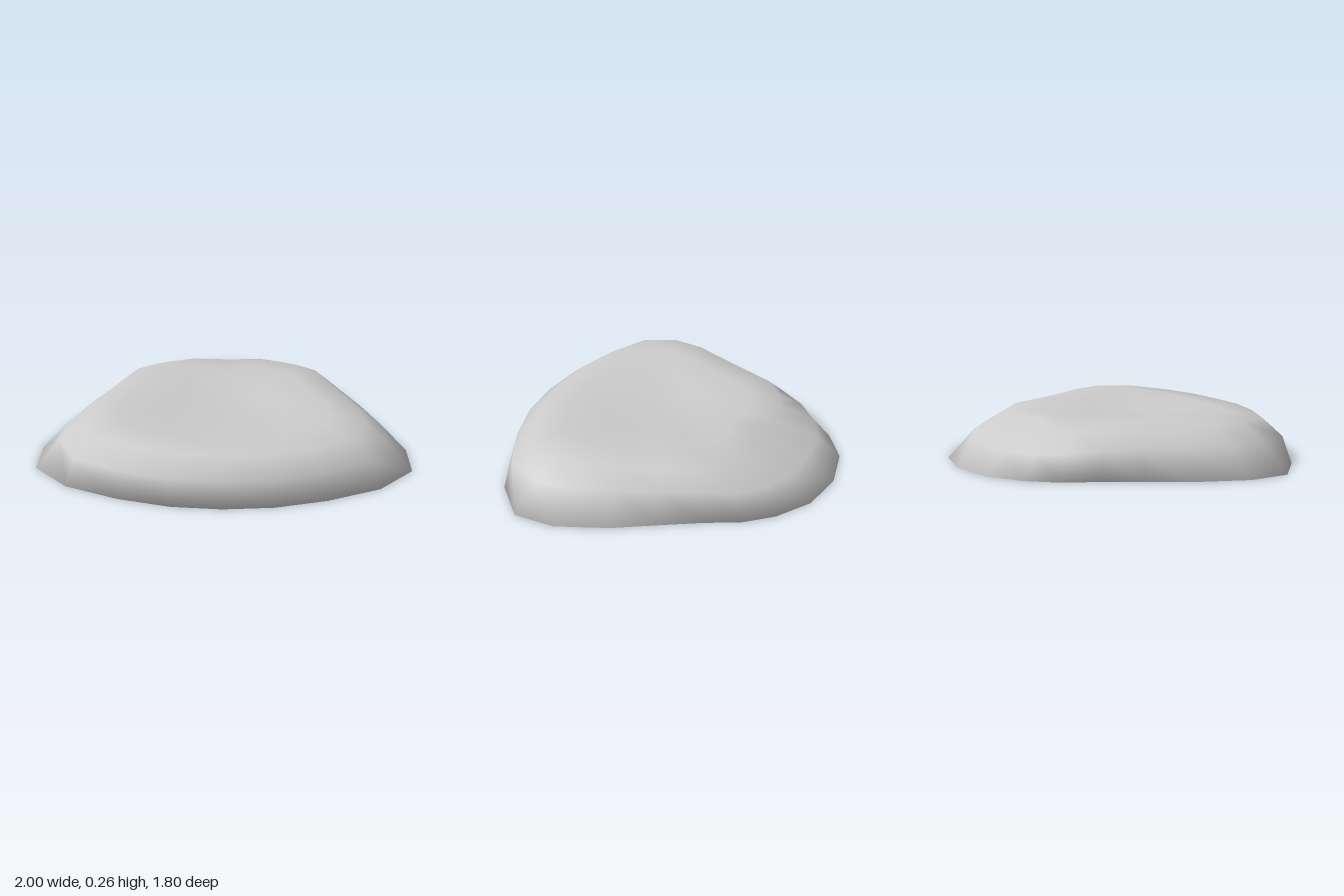
import * as THREE from 'three';

// half of the rim outline, front centre to back centre: [x, z]
const HALF = [[0, 0.9], [0.26, 0.88], [0.53, 0.81], [0.81, 0.69], [1, 0.5], [1, 0.27], [0.89, 0],
  [0.76, -0.22], [0.65, -0.41], [0.56, -0.59], [0.44, -0.73], [0.25, -0.855], [0, -0.9]];
const OUTLINE = [...HALF, ...HALF.slice(1, -1).reverse().map(([x, z]) => [-x, z])];
const CENTER_Z = 0.1;

// cross-sections from underside over the rim to the middle, as [share of rim radius, height],
// each at an angle in degrees measured from the front
const SECTIONS = [
  { at: 0, points: [[0.86, 0], [1, 0], [0.985, 0.15], [0.85, 0.231], [0.65, 0.237], [0.4, 0.228], [0.2, 0.218]] },
  { at: 27, points: [[0.86, 0], [1, 0], [0.98, 0.15], [0.85, 0.235], [0.65, 0.241], [0.4, 0.23], [0.2, 0.218]] },
  { at: 54, points: [[0.86, 0], [1, 0], [0.945, 0.145], [0.83, 0.237], [0.65, 0.255], [0.38, 0.234], [0.18, 0.219]] },
  { at: 72, points: [[0.86, 0], [1, 0], [0.85, 0.15], [0.72, 0.246], [0.55, 0.26], [0.33, 0.235], [0.16, 0.219]] },
  { at: 96, points: [[0.86, 0], [1, 0], [0.86, 0.145], [0.74, 0.226], [0.55, 0.25], [0.33, 0.231], [0.16, 0.218]] },
  { at: 128, points: [[0.86, 0], [1, 0], [0.92, 0.14], [0.81, 0.22], [0.6, 0.242], [0.35, 0.229], [0.17, 0.217]] },
  { at: 141, points: [[0.86, 0], [1, 0], [0.91, 0.125], [0.75, 0.208], [0.56, 0.23], [0.35, 0.226], [0.17, 0.217]] },
  { at: 180, points: [[0.86, 0], [1, 0], [0.84, 0.1], [0.5, 0.218], [0.38, 0.222], [0.24, 0.22], [0.12, 0.216]] },
];

// one ring of points, blending neighbouring cross-sections by direction
function ring(k) {
  return OUTLINE.map(([x, z]) => {
    const dz = z - CENTER_Z;
    const angle = THREE.MathUtils.radToDeg(Math.atan2(Math.abs(x), dz));
    const i = Math.max(1, SECTIONS.findIndex((s) => s.at >= angle));
    const [a, b] = [SECTIONS[i - 1], SECTIONS[i]];
    const t = (angle - a.at) / (b.at - a.at);
    const [share, y] = [0, 1].map((c) => THREE.MathUtils.lerp(a.points[k][c], b.points[k][c], t));
    return [x * share, y, CENTER_Z + dz * share];
  });
}

// closed smooth skin: underside, rolled sides and slightly dished top
function cushionGeometry() {
  const n = OUTLINE.length;
  const rings = SECTIONS[0].points.map((_, k) => ring(k));
  const last = (rings.length - 1) * n;
  const top = rings.length * n;
  const bottom = top + 1;
  const index = [];
  for (let i = 0; i < n; i++) {
    const j = (i + 1) % n;
    for (let k = 0; k < last; k += n) {
      index.push(k + i, k + j, k + n + i, k + j, k + n + j, k + n + i);
    }
    index.push(last + i, last + j, top, j, i, bottom);
  }
  const g = new THREE.BufferGeometry();
  const points = [...rings.flat(), [0, 0.215, CENTER_Z], [0, 0, CENTER_Z]];
  g.setAttribute('position', new THREE.Float32BufferAttribute(points.flat(), 3));
  g.setIndex(index);
  g.computeVertexNormals();
  return g;
}

export function createModel() {
  const group = new THREE.Group();
  group.name = 'seatCushion';
  const material = new THREE.MeshStandardMaterial({ color: 0xcccccc });
  const cushion = new THREE.Mesh(cushionGeometry(), material);
  cushion.name = 'cushion';
  group.add(cushion);
  return group;
}
